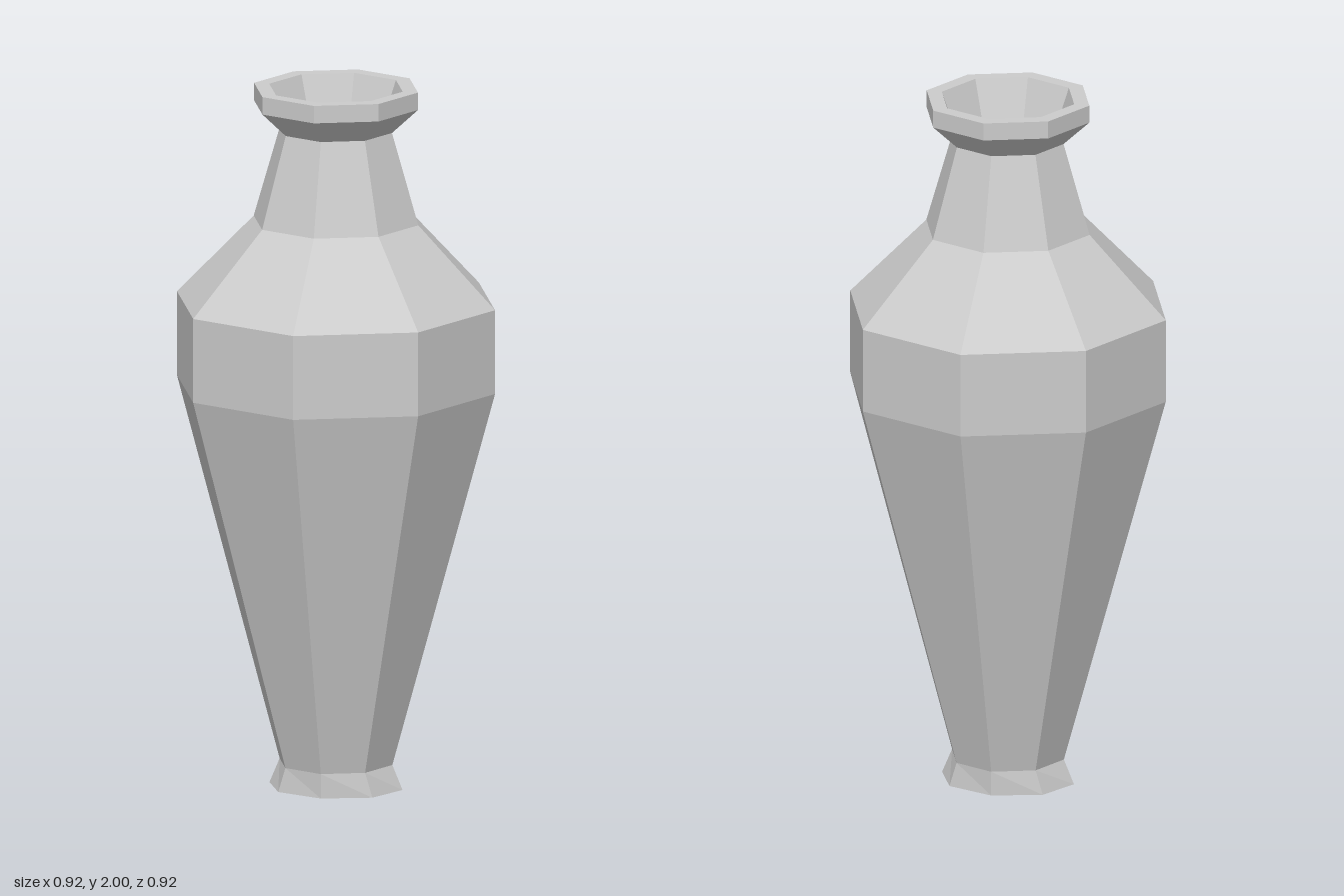
import * as THREE from 'three';

const SIDES = 8;
const material = new THREE.MeshStandardMaterial({ color: 0xcccccc, flatShading: true });

// Faceted ring surface from [radius, height] pairs, listed along the surface
function facetedLathe(name, profile, reshape) {
  const points = profile.map(([r, y]) => new THREE.Vector2(r, y));
  const lathe = new THREE.LatheGeometry(points, SIDES);
  if (reshape) reshape(lathe.attributes.position);
  const geometry = lathe.toNonIndexed();
  geometry.computeVertexNormals();
  const mesh = new THREE.Mesh(geometry, material);
  mesh.name = name;
  return mesh;
}

export function createModel() {
  const vase = new THREE.Group();
  vase.name = 'vase';

  // Foot: closed underneath, its bottom edge flares sideways only
  vase.add(facetedLathe('foot', [[0, 0], [0.163, 0], [0.163, 0.07]], (pos) => {
    for (let i = 0; i < pos.count; i++) {
      if (pos.getY(i) < 0.01) pos.setX(i, pos.getX(i) * 1.18);
    }
  }));

  // Tapered body, straight belly band and sloping shoulder
  vase.add(facetedLathe('body', [[0.163, 0.07], [0.46, 1.15], [0.46, 1.39], [0.238, 1.62]]));

  // Neck
  vase.add(facetedLathe('neck', [[0.238, 1.62], [0.162, 1.88]]));

  // Flared lip with a flat rim
  vase.add(facetedLathe('lip', [[0.162, 1.88], [0.237, 1.95], [0.237, 2], [0.193, 2]]));

  // Funnel-shaped opening with a small floor
  vase.add(facetedLathe('opening', [[0.193, 2], [0.053, 1.62], [0, 1.62]]));

  return vase;
}
